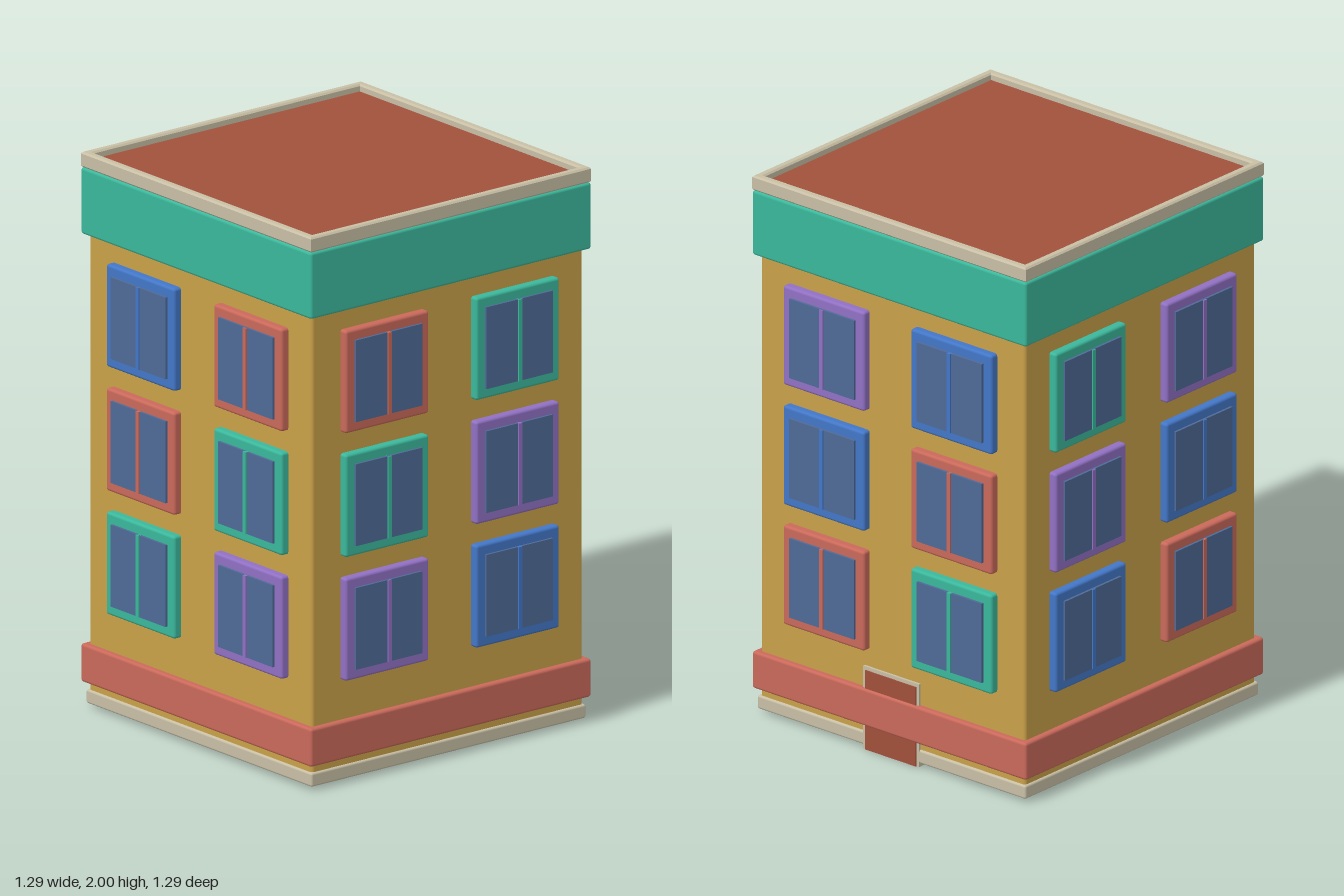
import * as THREE from 'three';
import { RoundedBoxGeometry } from 'three/addons/geometries/RoundedBoxGeometry.js';

const mat = (name, color) => {
  const m = new THREE.MeshStandardMaterial({ color });
  m.name = name;
  return m;
};

export function createModel() {
  const mustard = mat('mustard wall', 0xc8a048);
  const teal = mat('teal trim', 0x3bb89c);
  const red = mat('coral trim', 0xca695b);
  const blue = mat('blue trim', 0x4377c8);
  const purple = mat('purple trim', 0x9170c4);
  const glass = mat('window glass', 0x4f6a97);
  const stone = mat('pale stone', 0xc8bfa5);
  const brick = mat('brick brown', 0xa0513b);

  const building = new THREE.Group();
  building.name = 'building';

  const add = (parent, name, geometry, material, x = 0, y = 0, z = 0) => {
    const mesh = new THREE.Mesh(geometry, material);
    mesh.name = name;
    mesh.position.set(x, y, z);
    parent.add(mesh);
    return mesh;
  };

  // Square slab with softened edges between two heights
  const slab = (name, half, y0, y1, material, bevel) =>
    add(building, name, new RoundedBoxGeometry(half * 2, y1 - y0, half * 2, 2, bevel), material, 0, (y0 + y1) / 2, 0);

  slab('baseSlab', 0.61, 0.013, 0.063, stone, 0.008);
  slab('walls', 0.602, 0.04, 1.9, mustard, 0.012);
  slab('lowerBand', 0.623, 0.09, 0.228, red, 0.01);
  slab('upperBand', 0.623, 1.705, 1.945, teal, 0.01);

  // Parapet ring around the sunken roof
  const bevel = 0.006;
  const square = (h, Type) =>
    new Type([[-h, -h], [h, -h], [h, h], [-h, h]].map(([x, y]) => new THREE.Vector2(x, y)));
  const ring = square(0.622 - bevel, THREE.Shape);
  ring.holes.push(square(0.592 + bevel, THREE.Path));
  const parapetGeometry = new THREE.ExtrudeGeometry(ring, {
    depth: 0.055 - bevel * 2, bevelEnabled: true, bevelSize: bevel, bevelThickness: bevel, bevelSegments: 1,
  });
  parapetGeometry.rotateX(-Math.PI / 2);
  add(building, 'parapet', parapetGeometry, stone, 0, 1.945 + bevel, 0);
  add(building, 'roof', new THREE.BoxGeometry(1.2, 0.04, 1.2), brick, 0, 1.955, 0);

  // Shared window geometries
  const frameGeometry = new RoundedBoxGeometry(0.37, 0.37, 0.05, 2, 0.01);
  const paneGeometry = new THREE.BoxGeometry(0.295, 0.295, 0.03);
  const mullionGeometry = new THREE.BoxGeometry(0.016, 0.295, 0.03);

  const rows = [1.45, 1.003, 0.557];
  const columns = [-0.29, 0.29];

  // Trim colours per facade, rows from the top, columns as seen from outside
  const facades = [
    { name: 'front', turn: 0, trims: [[blue, red], [red, teal], [teal, purple]] },
    { name: 'left', turn: 1, trims: [[red, teal], [teal, purple], [purple, blue]] },
    { name: 'back', turn: 2, trims: [[purple, blue], [blue, red], [red, teal]] },
    { name: 'right', turn: 3, trims: [[teal, purple], [purple, blue], [blue, red]] },
  ];

  for (const { name, turn, trims } of facades) {
    const facade = new THREE.Group();
    facade.name = name + 'Facade';
    facade.rotation.y = turn * Math.PI / 2;
    rows.forEach((y, r) => columns.forEach((x, c) => {
      const win = new THREE.Group();
      win.name = 'window';
      win.position.set(x, y, 0.602);
      add(win, 'windowFrame', frameGeometry, trims[r][c], 0, 0, 0.005);
      add(win, 'windowPane', paneGeometry, glass, 0, 0, 0.024);
      add(win, 'windowMullion', mullionGeometry, trims[r][c], 0, 0, 0.029);
      facade.add(win);
    }));
    building.add(facade);
  }

  // Back door, crossed by the lower band
  const door = new THREE.Group();
  door.name = 'backDoor';
  add(door, 'doorFrame', new THREE.BoxGeometry(0.254, 0.308, 0.03), stone, 0, 0.154, -0.596);
  add(door, 'doorPanel', new THREE.BoxGeometry(0.23, 0.295, 0.03), brick, 0, 0.1475, -0.6);
  building.add(door);

  return building;
}
